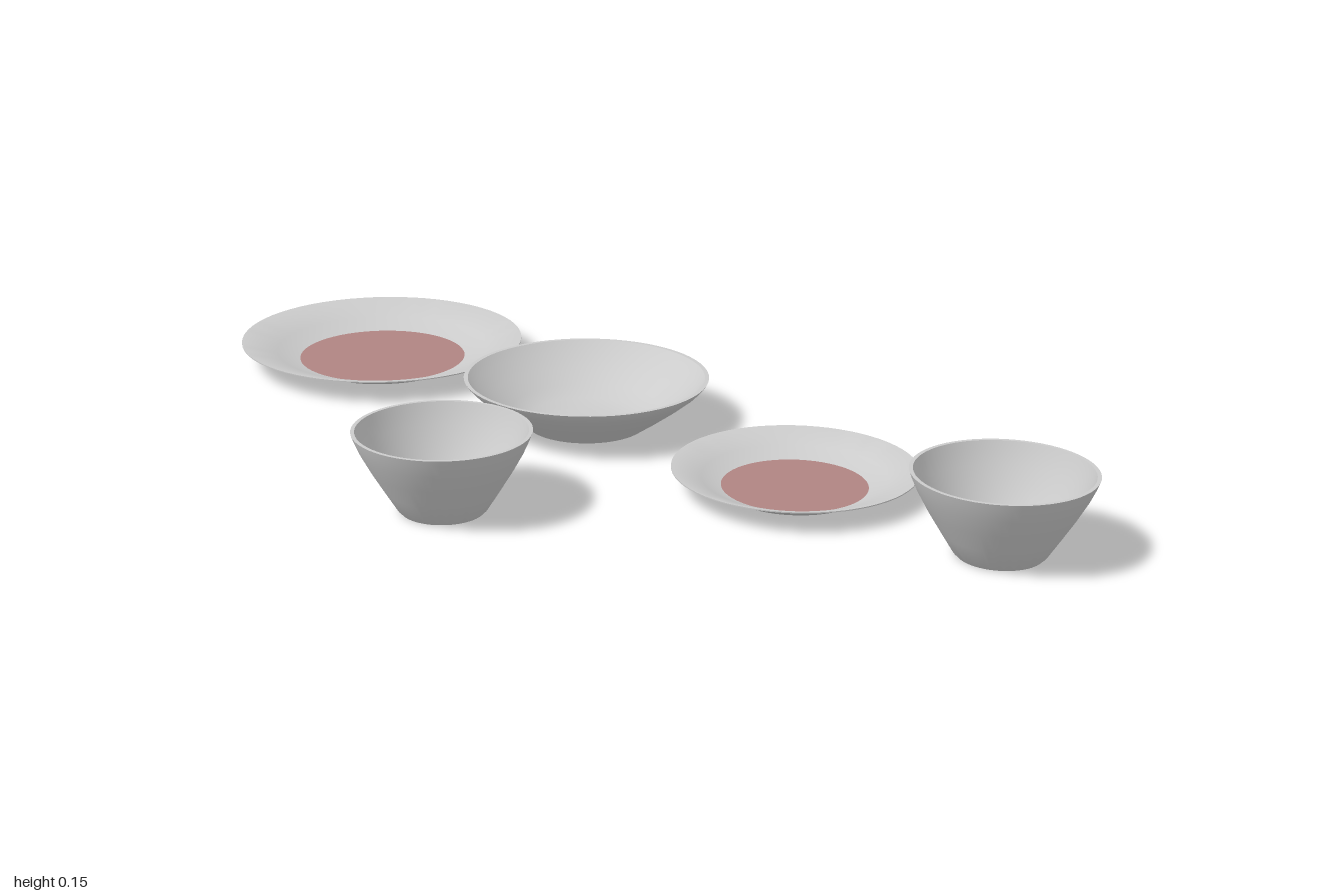
import * as THREE from 'three';
import { toCreasedNormals } from 'three/addons/utils/BufferGeometryUtils.js';

const ceramic = new THREE.MeshStandardMaterial({ color: 0xcccccc });
const glaze = new THREE.MeshStandardMaterial({ color: 0xb08482 });

// Turned vessel: points run from the bottom centre, up the outside and down the inside.
function turned(points, name) {
  const profile = points.map(([r, y]) => new THREE.Vector2(r, y));
  const geometry = toCreasedNormals(new THREE.LatheGeometry(profile, 64), 0.45);
  const mesh = new THREE.Mesh(geometry, ceramic);
  mesh.name = name;
  return mesh;
}

// Shallow plate with a flat base, sloping rim and coloured centre
function plate(name, radius, height, base, disc) {
  const group = new THREE.Group();
  group.name = name;
  const bend = base + (radius - base) * 0.42;
  group.add(turned([
    [0, 0], [base, 0], [bend, height * 0.43], [radius, height - 0.002],
    [radius, height], [radius - 0.004, height],
    [bend, height * 0.43 + 0.005], [base, 0.005], [0, 0.005],
  ], 'plateBody'));
  const centre = new THREE.Mesh(new THREE.CircleGeometry(disc, 64).rotateX(-Math.PI / 2), glaze);
  centre.name = 'plateCentre';
  centre.position.y = 0.0075;
  group.add(centre);
  return group;
}

// Wide, low serving bowl
function servingBowl() {
  return turned([
    [0, 0], [0.115, 0], [0.15, 0.024], [0.19, 0.053], [0.22, 0.077], [0.234, 0.092],
    [0.237, 0.097], [0.229, 0.097],
    [0.212, 0.079], [0.18, 0.055], [0.145, 0.031], [0.11, 0.014], [0.06, 0.009], [0, 0.008],
  ], 'servingBowl');
}

// Deep, steep-sided small bowl
function deepBowl() {
  return turned([
    [0, 0], [0.075, 0], [0.082, 0.007], [0.105, 0.044], [0.128, 0.082], [0.146, 0.115], [0.157, 0.14],
    [0.161, 0.151], [0.154, 0.151],
    [0.149, 0.138], [0.137, 0.112], [0.119, 0.08], [0.096, 0.044], [0.074, 0.017], [0.04, 0.01], [0, 0.009],
  ], 'deepBowl');
}

export function createModel() {
  const model = new THREE.Group();
  model.name = 'tableware';
  const place = (part, x, z, name) => {
    part.position.set(x, 0, z);
    part.name = name;
    model.add(part);
  };

  // Back row, then the single bowl in front
  place(plate('plate', 0.29, 0.047, 0.165, 0.171), -0.71, -0.19, 'dinnerPlate');
  place(servingBowl(), -0.128, -0.19, 'servingBowl');
  place(plate('plate', 0.225, 0.043, 0.13, 0.134), 0.39, -0.19, 'sidePlate');
  place(deepBowl(), 0.838, -0.19, 'backDeepBowl');
  place(deepBowl(), 0, 0.32, 'frontDeepBowl');
  return model;
}
